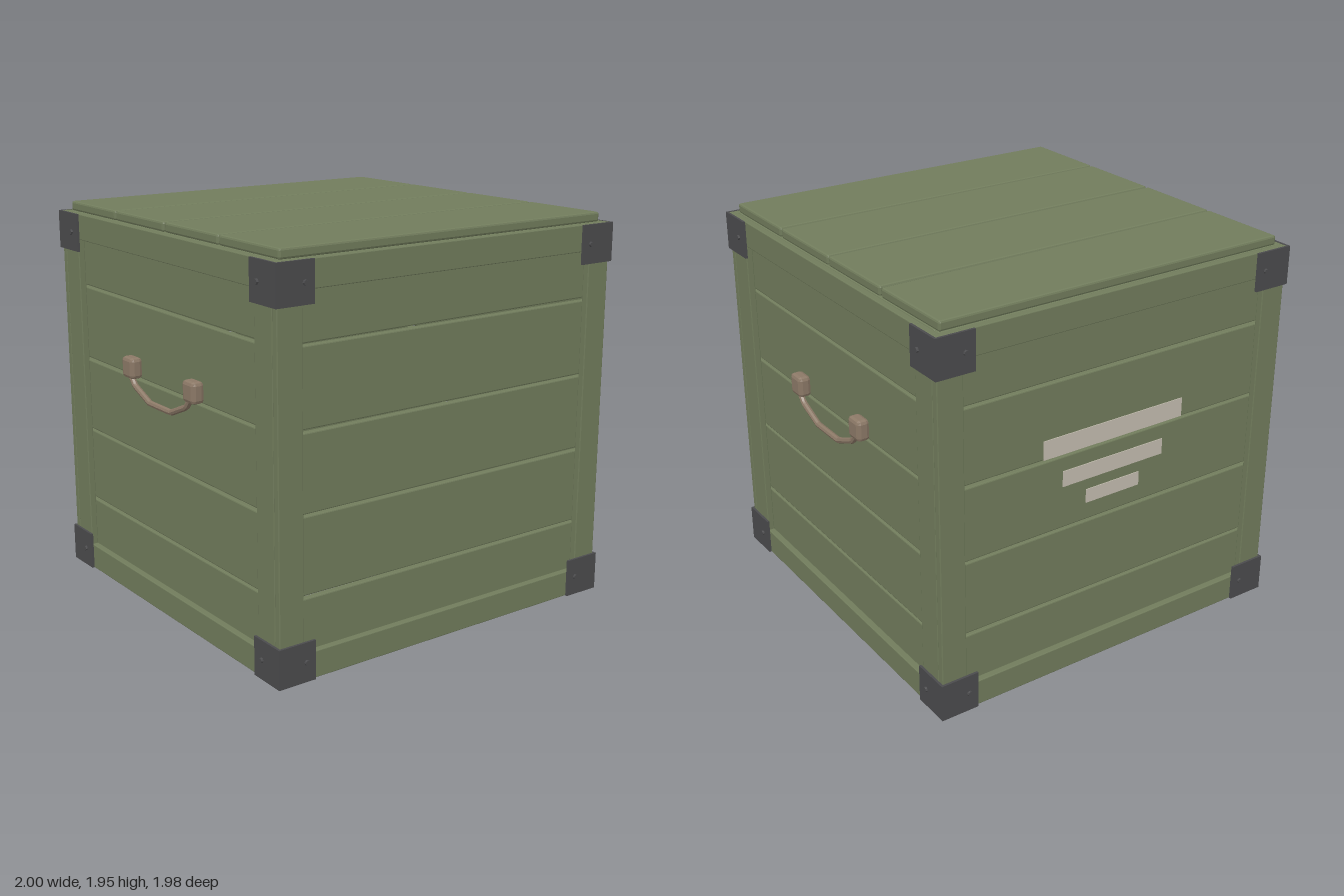
import * as THREE from 'three';
import { RoundedBoxGeometry } from 'three/addons/geometries/RoundedBoxGeometry.js';

const paint = (color) => new THREE.MeshStandardMaterial({ color, flatShading: true });

export function createModel() {
  const crate = new THREE.Group();
  crate.name = 'crate';
  const green = paint(0x717c5c), iron = paint(0x4b4b4d), leather = paint(0x8c7967), pale = paint(0xc4bdb0);

  // Box given by its min/max extents, with an optional small chamfer
  function block(parent, name, material, x, y, z, chamfer = 0) {
    const size = [x, y, z].map(([a, b]) => Math.abs(b - a));
    const geometry = chamfer ? new RoundedBoxGeometry(...size, 1, chamfer) : new THREE.BoxGeometry(...size);
    const mesh = new THREE.Mesh(geometry, material);
    mesh.name = name;
    mesh.position.set(...[x, y, z].map(([a, b]) => (a + b) / 2));
    parent.add(mesh);
    return mesh;
  }

  const top = 1.9, base = 0.01, outer = 0.97, face = 0.935, inner = 0.9;
  const tilt = [0.001, -0.0015, 0.0015, -0.001, 0.0012];

  // One wall facing +z: five planks, two stiles and two rails
  function wall(name, angle, isSide) {
    const group = new THREE.Group();
    group.name = name;
    const plankHalf = isSide ? inner : face;
    const stileIn = isSide ? 0.8 : 0.84, stileOut = isSide ? face : outer;
    const pitch = 0.38;
    for (let i = 0; i < 5; i++) {
      const y0 = i === 0 ? 0.003 : i * pitch + 0.016;
      const plank = block(group, 'wallPlank', green, [-plankHalf, plankHalf],
        [y0, i === 4 ? top : (i + 1) * pitch + 0.004], [inner, face], 0.006);
      plank.rotation.z = tilt[i];
    }
    for (const s of [-1, 1])
      block(group, 'stile', green, [s * stileIn, s * stileOut], [base, top], [face, outer], 0.004);
    block(group, 'topRail', green, [-stileIn, stileIn], [1.77, top], [face, outer], 0.004);
    block(group, 'bottomRail', green, [-stileIn, stileIn], [base, 0.14], [face, outer], 0.004);
    group.rotation.y = angle;
    crate.add(group);
    return group;
  }

  // Handle hanging from two mounts on a side wall
  function handle(parent) {
    const group = new THREE.Group();
    group.name = 'handle';
    for (const s of [-1, 1])
      block(group, 'handleMount', leather, [s * 0.235, s * 0.335], [1.16, 1.265], [face, 1.0], 0.018);
    const points = [[-0.3, 1.2], [-0.24, 1.13], [-0.1, 1.073], [0.1, 1.073], [0.24, 1.13], [0.3, 1.2]]
      .map(([x, y]) => new THREE.Vector3(x, y, 0.978));
    const path = new THREE.CurvePath();
    for (let i = 1; i < points.length; i++) path.add(new THREE.LineCurve3(points[i - 1], points[i]));
    const grip = new THREE.Mesh(new THREE.TubeGeometry(path, 40, 0.015, 8), leather);
    grip.name = 'handleGrip';
    group.add(grip);
    parent.add(group);
  }

  wall('frontWall', 0, false);
  const back = wall('backWall', Math.PI, false);
  handle(wall('leftWall', Math.PI / 2, true));
  handle(wall('rightWall', -Math.PI / 2, true));

  // Painted bars on the back wall
  for (const [width, height, y] of [[0.8, 0.095, 1.205], [0.58, 0.08, 1.03], [0.31, 0.07, 0.9]])
    block(back, 'paleBar', pale, [-width / 2, width / 2], [y - height / 2, y + height / 2], [face - 0.002, face + 0.004]);

  // Inner corner posts and iron corner brackets with rivets
  for (const sx of [-1, 1]) for (const sz of [-1, 1]) {
    block(crate, 'cornerPost', green, [sx * 0.79, sx * inner], [0, top], [sz * 0.79, sz * inner], 0.004);
    for (const y of [base, top - 0.19]) {
      const bracket = new THREE.Group();
      bracket.name = 'cornerBracket';
      const ys = [y, y + 0.19];
      block(bracket, 'bracketPlate', iron, [sx * 0.785, sx * 0.982], ys, [sz * outer, sz * 0.982]);
      block(bracket, 'bracketPlate', iron, [sx * outer, sx * 0.982], ys, [sz * 0.785, sz * outer]);
      const rivet = new THREE.CylinderGeometry(0.012, 0.014, 0.016, 8);
      const a = new THREE.Mesh(rivet, iron);
      a.rotation.x = sz * Math.PI / 2;
      a.position.set(sx * 0.835, y + 0.095, sz * 0.984);
      const b = new THREE.Mesh(rivet, iron);
      b.rotation.z = -sx * Math.PI / 2;
      b.position.set(sx * 0.984, y + 0.095, sz * 0.845);
      a.name = b.name = 'rivet';
      bracket.add(a, b);
      crate.add(bracket);
    }
  }

  // Lid of four planks
  const lid = new THREE.Group();
  lid.name = 'lid';
  for (let i = 0; i < 4; i++) {
    const z = -0.935 + i * 0.4675;
    const plank = block(lid, 'lidPlank', green, [-0.932, 0.932],
      [top, 1.948], [z + (i ? 0.006 : 0), z + (i < 3 ? 0.4615 : 0.4675)], 0.01);
    plank.rotation.y = tilt[i];
  }
  crate.add(lid);
  return crate;
}
